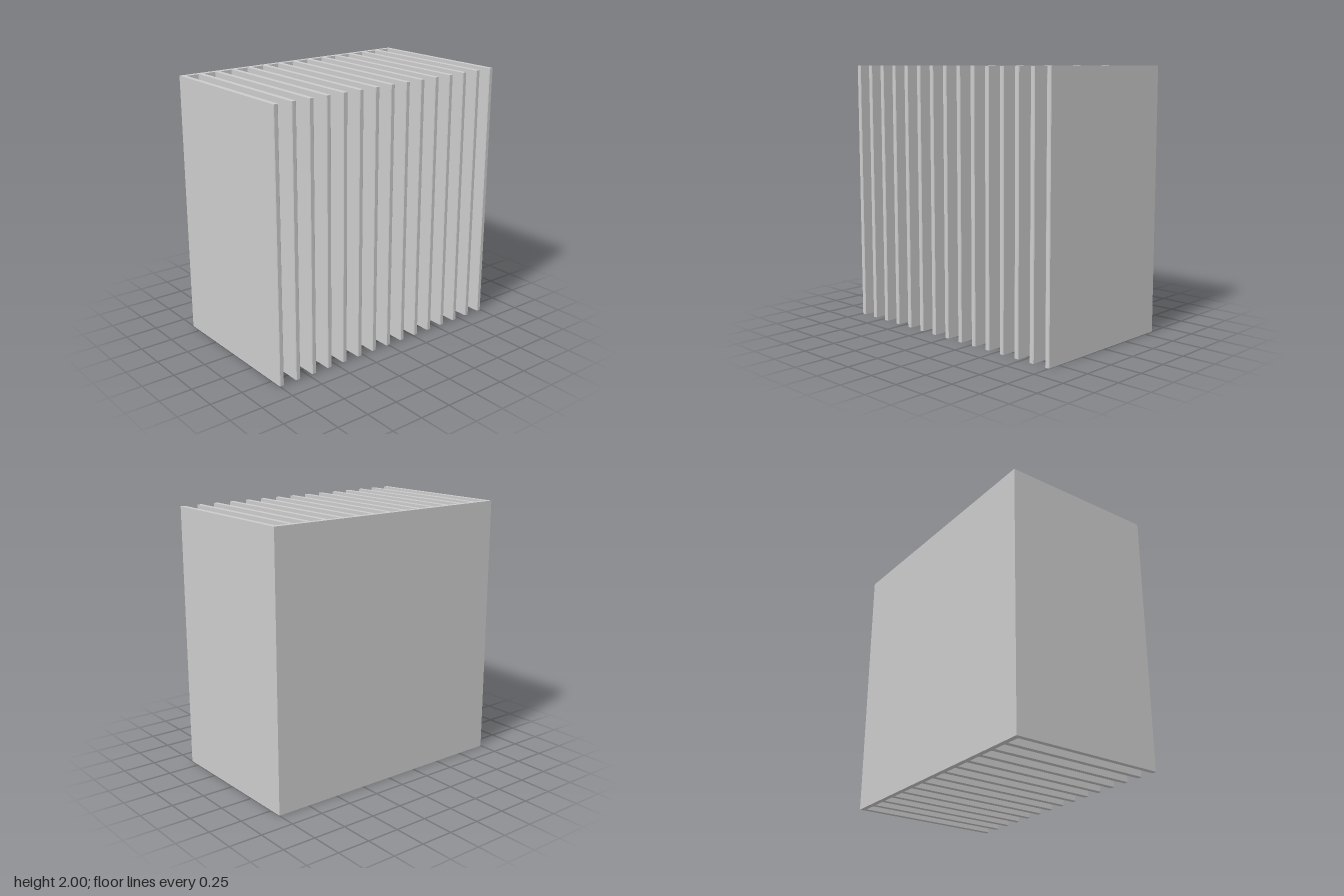
import * as THREE from 'three';

export function createModel() {
  const group = new THREE.Group();
  group.name = 'finnedHeatSink';

  const height = 2, halfX = 0.598, root = -0.56;
  const fins = 15, fin = 0.037, r = 0.005;
  const pitch = (2 - fin) / (fins - 1);

  // Comb-shaped section: a thin base plate with fins, tips and slot roots eased
  const comb = new THREE.Shape();
  comb.moveTo(-halfX, 1);
  comb.lineTo(-halfX, -1);
  for (let i = 0; i < fins; i++) {
    const a = -1 + i * pitch, b = a + fin;
    if (i > 0) {
      comb.lineTo(root, a - r);
      comb.lineTo(root + r, a);
    }
    comb.lineTo(halfX - r, a);
    comb.lineTo(halfX, a + r);
    comb.lineTo(halfX, b - r);
    comb.lineTo(halfX - r, b);
    if (i < fins - 1) {
      comb.lineTo(root + r, b);
      comb.lineTo(root, b + r);
    }
  }
  comb.closePath();

  // Extrude the section up the full height
  const geometry = new THREE.ExtrudeGeometry(comb, { depth: height, bevelEnabled: false });
  geometry.rotateX(-Math.PI / 2);

  const body = new THREE.Mesh(geometry, new THREE.MeshStandardMaterial({ color: 0xcccccc }));
  body.name = 'basePlateWithFins';
  group.add(body);
  return group;
}
